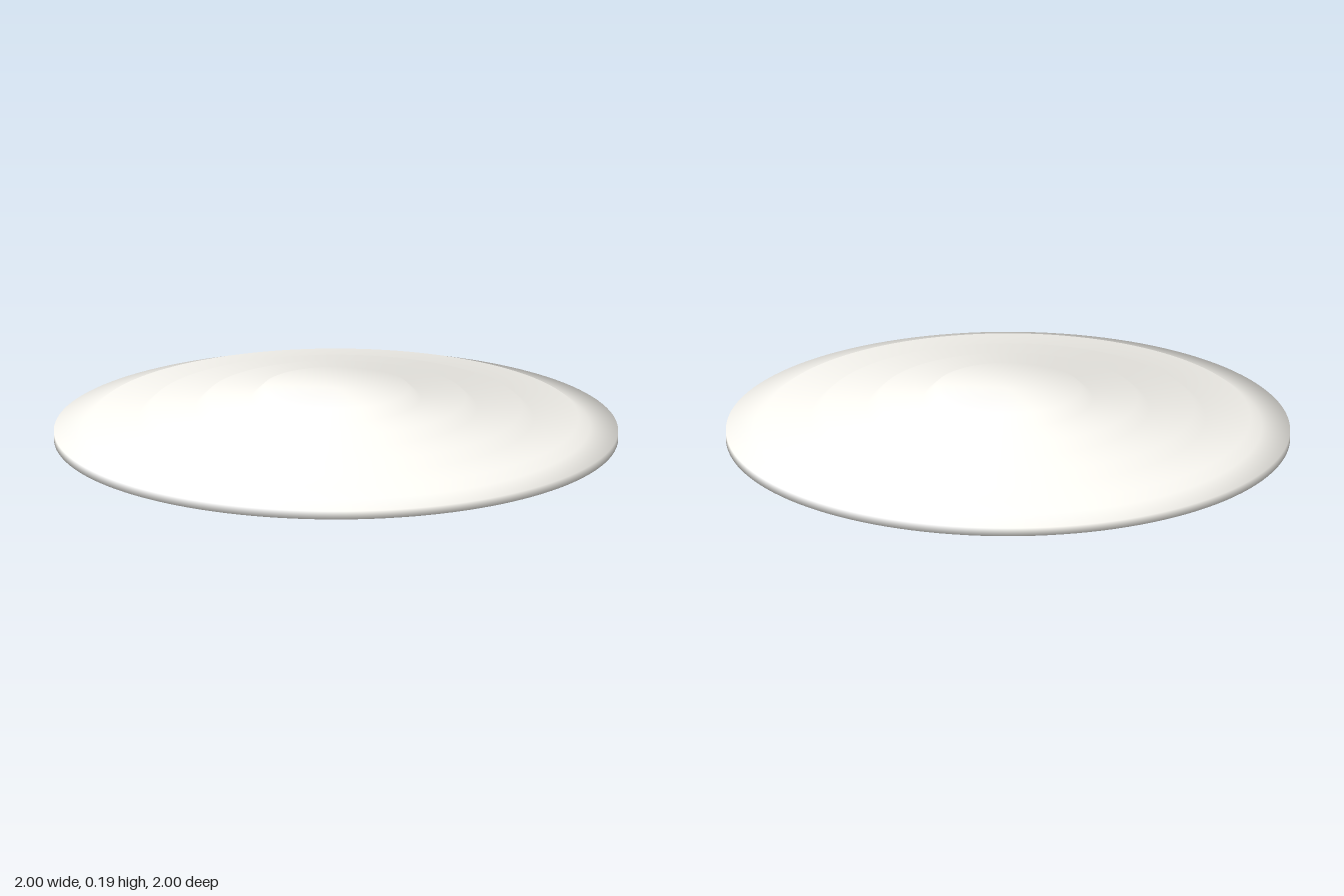
import * as THREE from 'three';

// Lathe whose normals average the neighbouring bands equally, however wide they are
function softLathe(profile, segments) {
  const geometry = new THREE.LatheGeometry(profile, segments);
  const bands = profile.slice(1).map((p, i) =>
    new THREE.Vector2(p.y - profile[i].y, profile[i].x - p.x).normalize());
  const normals = profile.map((p, i) => {
    const below = bands[Math.max(i - 1, 0)];
    const above = bands[Math.min(i, bands.length - 1)];
    return below.clone().add(above).normalize();
  });
  for (let i = 0; i <= segments; i++) {
    const angle = (i / segments) * Math.PI * 2;
    normals.forEach((n, j) => geometry.attributes.normal.setXYZ(
      i * profile.length + j, n.x * Math.sin(angle), n.y, n.x * Math.cos(angle)));
  }
  return geometry;
}

export function createModel() {
  const group = new THREE.Group();

  // Profile from the underside centre, up the rim, to the top centre
  const profile = [[0, 0], [1, 0], [1, 0.03], [0.9, 0.045]];

  // Bevelled tiers: each rises over a 0.04 wide slope, then a flat tread
  const treadHeights = [0.076, 0.113, 0.151, 0.188];
  const outerRadii = [0.9, 0.7, 0.5, 0.3];
  treadHeights.forEach((y, i) => {
    profile.push([outerRadii[i] - 0.04, y]);
    profile.push([i < 3 ? outerRadii[i + 1] : 0, y]);
  });

  const disc = new THREE.Mesh(
    softLathe(profile.map(([r, y]) => new THREE.Vector2(r, y)), 128),
    new THREE.MeshStandardMaterial({ color: 0xfffdf7 })
  );
  disc.name = 'steppedDisc';
  group.add(disc);
  return group;
}
